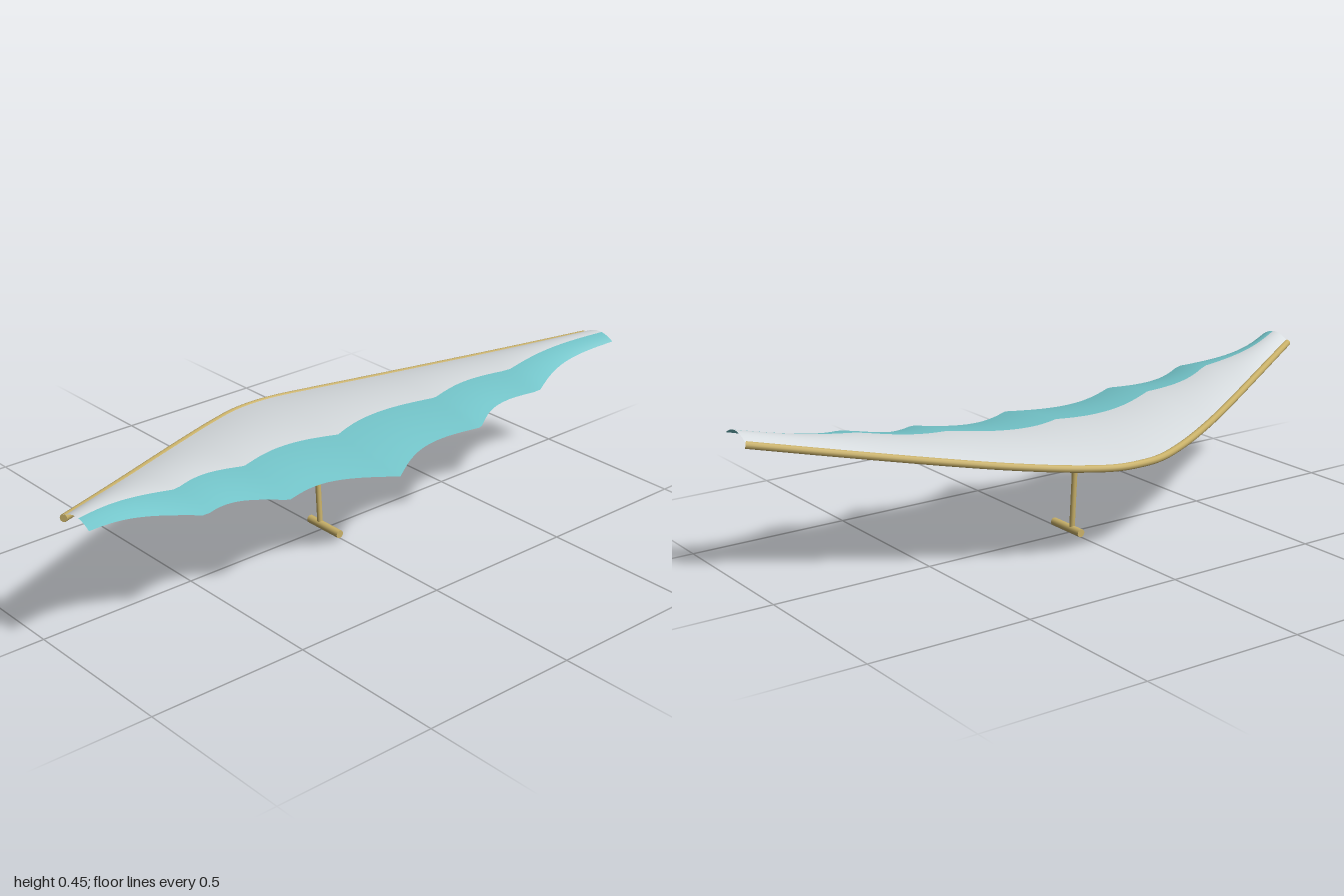
import * as THREE from 'three';

const material = (name, color, side = THREE.FrontSide) => {
  const m = new THREE.MeshStandardMaterial({ color, side });
  m.name = name;
  return m;
};

// Leading edge of one half: x, y, z
const HALF = [
  [0.08, 0.301, -0.327], [0.2, 0.309, -0.284], [0.35, 0.325, -0.214],
  [0.5, 0.345, -0.136], [0.75, 0.382, 0], [0.993, 0.42, 0.132],
];
// Points of the scalloped trailing edge: x, z
const CUSPS = [[0, 0.34], [0.37, 0.293], [0.64, 0.272], [1, 0.252]];
const DIPS = [0.062, 0.05, 0.05];

function trailingPoint(x) {
  const a = Math.min(Math.abs(x), 1);
  let k = 0;
  while (k < 2 && a > CUSPS[k + 1][0]) k++;
  const [x0, z0] = CUSPS[k], [x1, z1] = CUSPS[k + 1];
  const s = (a - x0) / (x1 - x0);
  const z = z0 + (z1 - z0) * s - DIPS[k] * Math.sin(Math.PI * s);
  return new THREE.Vector3(x, 0.302 + 0.045 * a + 0.083 * a * a, z);
}

// Arched sail sheet, coloured in two bands along the chord
function sailGeometry(edge) {
  const cols = 120, rows = 20, split = 12;
  const pos = [], index = [];
  for (let j = 0; j <= rows; j++) {
    const t = j / rows;
    for (let i = 0; i <= cols; i++) {
      const lead = edge.getPoint(i / cols);
      lead.y += 0.006;
      const p = lead.clone().lerp(trailingPoint(lead.x), t);
      const camber = 0.037 - 0.017 * Math.abs(lead.x);
      pos.push(p.x, p.y + camber * 4 * t * (1 - t), p.z);
    }
  }
  for (let j = 0; j < rows; j++) {
    for (let i = 0; i < cols; i++) {
      const a = j * (cols + 1) + i, c = a + cols + 1;
      index.push(a, c, a + 1, a + 1, c, c + 1);
    }
  }
  const geo = new THREE.BufferGeometry();
  geo.setAttribute('position', new THREE.Float32BufferAttribute(pos, 3));
  geo.setIndex(index);
  geo.computeVertexNormals();
  geo.addGroup(0, split * cols * 6, 0);
  geo.addGroup(split * cols * 6, (rows - split) * cols * 6, 1);
  return geo;
}

export function createModel() {
  const model = new THREE.Group();
  model.name = 'glider';
  const wood = material('wood', 0xc9b169);
  const cloth = material('pale cloth', 0xd8dde0, THREE.DoubleSide);
  const teal = material('teal cloth', 0x74c5ca, THREE.DoubleSide);

  const add = (name, geo, mat) => {
    const mesh = new THREE.Mesh(geo, mat);
    mesh.name = name;
    model.add(mesh);
    return mesh;
  };

  // Bent spar along the leading edge
  const right = HALF.map(([x, y, z]) => new THREE.Vector3(-x, y, z)).reverse();
  const left = HALF.map((p) => new THREE.Vector3(...p));
  const edge = new THREE.CatmullRomCurve3([...right, new THREE.Vector3(0, 0.3, -0.335), ...left]);
  add('leadingSpar', new THREE.TubeGeometry(edge, 100, 0.011, 10), wood);
  for (const u of [0, 1]) {
    const cap = add('sparCap', new THREE.CircleGeometry(0.011, 10), wood);
    const end = edge.getPoint(u);
    cap.position.copy(end);
    cap.lookAt(end.clone().addScaledVector(edge.getTangent(u), u ? 1 : -1));
  }

  // Sail
  add('sail', sailGeometry(edge), [cloth, teal]);

  // Leaning post and the grip bar at its foot
  const foot = new THREE.Vector3(0, 0.02, -0.012), head = new THREE.Vector3(0, 0.32, -0.034);
  const dir = head.clone().sub(foot);
  const post = add('post', new THREE.CylinderGeometry(0.0085, 0.0085, dir.length(), 16), wood);
  post.position.copy(foot).lerp(head, 0.5);
  post.quaternion.setFromUnitVectors(new THREE.Vector3(0, 1, 0), dir.normalize());

  const grip = add('gripBar', new THREE.CylinderGeometry(0.0125, 0.0125, 0.137, 16), wood);
  grip.rotation.x = Math.PI / 2;
  grip.position.set(0, 0.0125, 0.011);

  return model;
}
